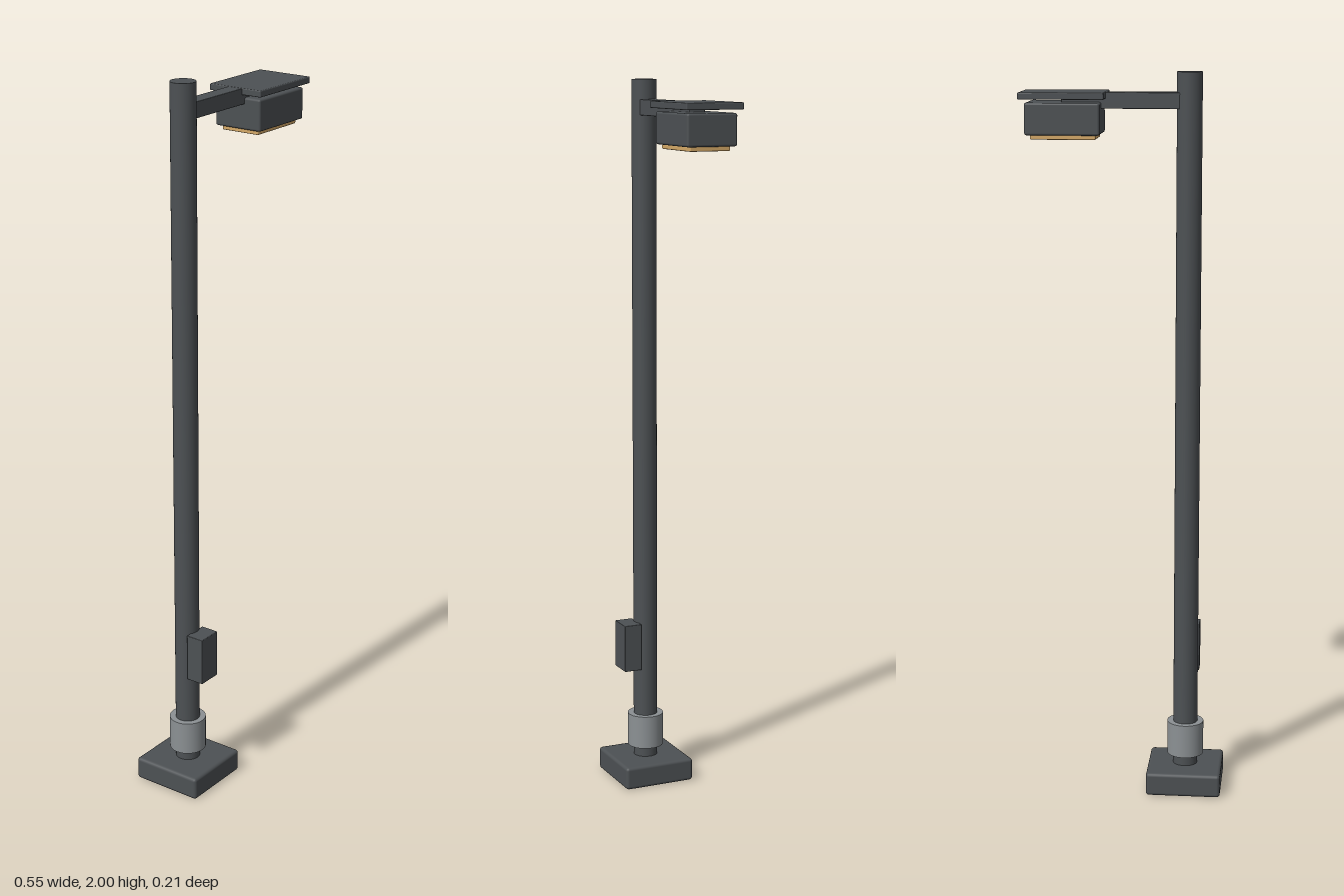
import * as THREE from 'three';
import { RoundedBoxGeometry } from 'three/addons/geometries/RoundedBoxGeometry.js';

const material = (name, color) => {
  const m = new THREE.MeshStandardMaterial({ color });
  m.name = name;
  return m;
};

export function createModel() {
  const group = new THREE.Group();
  group.name = 'streetLamp';
  const darkMetal = material('darkMetal', 0x4d5154);
  const collarGrey = material('collarGrey', 0x8c9194);
  const warmLens = material('warmLens', 0xd6aa68);

  const poleX = -0.173, midZ = -0.0015;

  const add = (name, geometry, mat, x, y, z) => {
    const mesh = new THREE.Mesh(geometry, mat);
    mesh.name = name;
    mesh.position.set(x, y, z);
    group.add(mesh);
  };
  // Softly bevelled box given by its [min, max] extents
  const box = (name, mat, [x0, x1], [y0, y1], [z0, z1], bevel) =>
    add(name, new RoundedBoxGeometry(x1 - x0, y1 - y0, z1 - z0, 2, bevel), mat,
      (x0 + x1) / 2, (y0 + y1) / 2, (z0 + z1) / 2);
  // Upright cylinder around the pole axis
  const tube = (name, mat, radius, y0, y1) =>
    add(name, new THREE.CylinderGeometry(radius, radius, y1 - y0, 32), mat,
      poleX, (y0 + y1) / 2, midZ);

  // Foot, pole and collar
  box('basePlate', darkMetal, [-0.277, -0.069], [0, 0.065], [-0.1055, 0.1025], 0.009);
  tube('pole', darkMetal, 0.034, 0.05, 2);
  tube('collar', collarGrey, 0.051, 0.095, 0.19);

  // Control box on the front of the pole
  box('controlBox', darkMetal, [-0.209, -0.138], [0.33, 0.466], [0.025, 0.077], 0.002);

  // Arm and lamp head
  box('arm', darkMetal, [poleX, 0.167], [1.903, 1.946], [-0.024, 0.021], 0.002);
  box('lampHead', darkMetal, [0.06, 0.26], [1.835, 1.92], [-0.073, 0.07], 0.006);
  box('lampRoof', darkMetal, [0.048, 0.276], [1.929, 1.947], [-0.083, 0.08], 0.003);
  box('lampLens', warmLens, [0.072, 0.246], [1.823, 1.836], [-0.059, 0.056], 0.003);

  return group;
}
